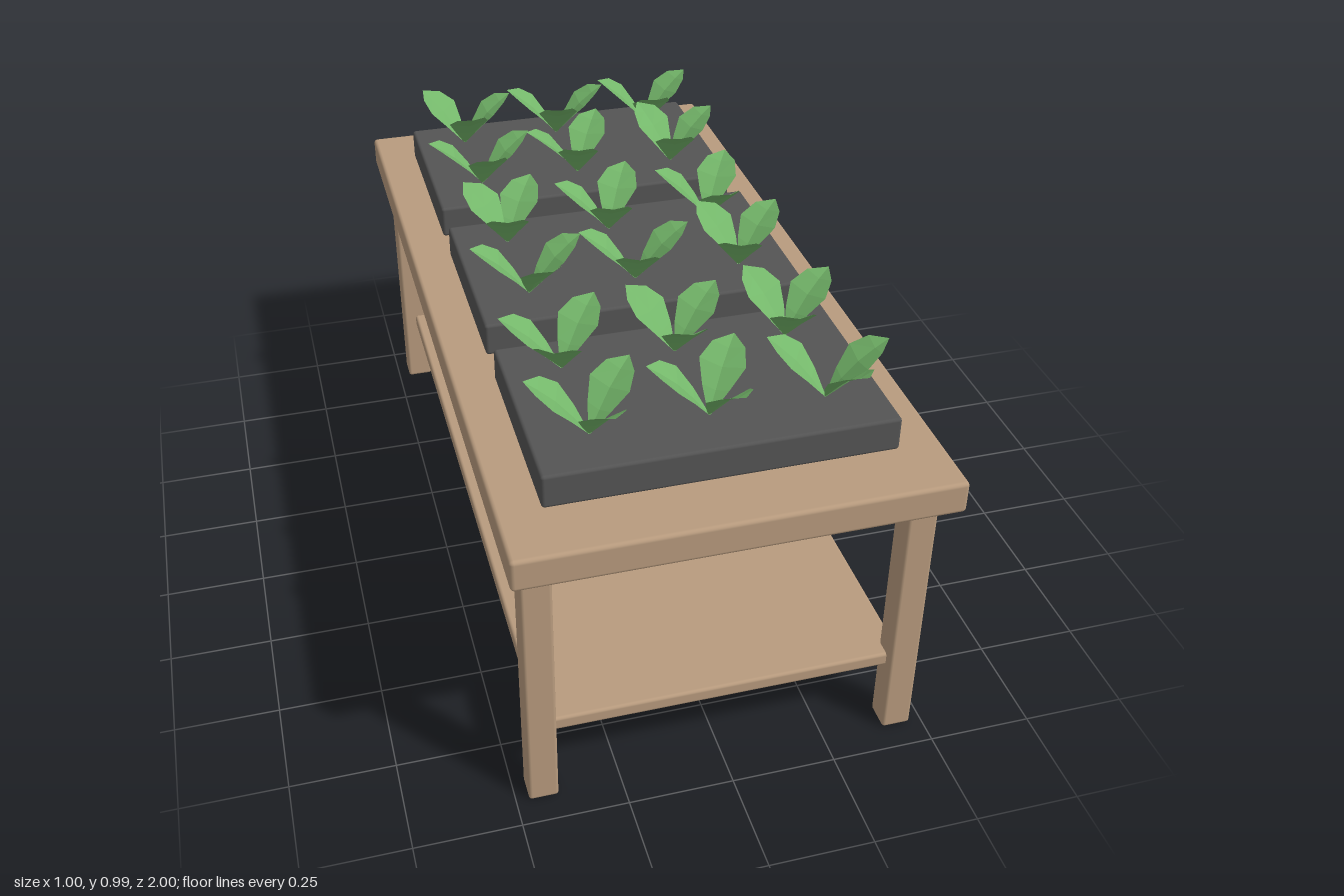
import * as THREE from 'three';
import { RoundedBoxGeometry } from 'three/addons/geometries/RoundedBoxGeometry.js';

const material = (name, color, extra = {}) => {
  const m = new THREE.MeshStandardMaterial({ color, ...extra });
  m.name = name;
  return m;
};

// Box with softly rounded edges, placed by its centre x, z and its bottom y
function roundedBox(name, mat, [w, h, d], [x, bottom, z], radius = 0.008) {
  const mesh = new THREE.Mesh(new RoundedBoxGeometry(w, h, d, 2, radius), mat);
  mesh.name = name;
  mesh.position.set(x, bottom + h / 2, z);
  return mesh;
}

// Folded leaf growing from the origin outwards along +z
function leafGeometry() {
  // distance out, height, half width, lift of the edges over the midrib
  const sections = [
    [0, 0, 0.003, 0],
    [0.034, 0.042, 0.032, 0.008],
    [0.07, 0.08, 0.054, 0.012],
    [0.107, 0.108, 0.038, 0.01],
    [0.138, 0.128, 0.0005, 0],
  ];
  const positions = [];
  for (const [z, y, w, lift] of sections) {
    positions.push(-w, y + lift, z, 0, y, z, w, y + lift, z);
  }
  const index = [];
  for (let i = 0; i < sections.length - 1; i++) {
    for (let j = 0; j < 2; j++) {
      const a = i * 3 + j, b = a + 1, c = a + 3, d = a + 4;
      index.push(a, c, b, b, c, d);
    }
  }
  const geometry = new THREE.BufferGeometry();
  geometry.setAttribute('position', new THREE.Float32BufferAttribute(positions, 3));
  geometry.setIndex(index);
  const flat = geometry.toNonIndexed();
  flat.computeVertexNormals();
  return flat;
}

export function createModel() {
  const model = new THREE.Group();
  model.name = 'pottingBench';
  const wood = material('wood', 0xb89b7e);
  const plastic = material('darkTray', 0x545454);
  const green = material('leafGreen', 0x74b76a, { side: THREE.DoubleSide, flatShading: true });

  // Bench
  model.add(roundedBox('tableTop', wood, [1, 0.08, 2], [0, 0.695, 0], 0.01));
  model.add(roundedBox('lowerShelf', wood, [0.87, 0.036, 1.82], [0, 0.184, 0]));
  for (const x of [-0.435, 0.435]) {
    for (const z of [-0.9, 0.9]) {
      model.add(roundedBox('leg', wood, [0.07, 0.7, 0.07], [x, 0, z]));
    }
  }

  // Trays
  for (const z of [-0.6, 0, 0.6]) {
    model.add(roundedBox('tray', plastic, [0.8, 0.083, 0.5], [0, 0.775, z]));
  }

  // Seedlings: directions of the three leaves in degrees, by row from the back
  const rows = [
    [[2, 97, -135], [-7, 92, -106], [-2, 110, -106]],
    [[5, 99, -94], [-11, 144, -95], [-7, 110, -153]],
    [[-9, 141, -140], [-9, 147, -106], [7, 144, -108]],
    [[14, 101, -99], [-11, 97, -104], [-18, 122, -146]],
    [[-19, 133, -106], [0, 122, -140], [-9, 117, -151]],
    [[9, 127, -108], [14, 141, -103], [16, 90, -122]],
  ];
  const rowZ = [-0.73, -0.47, -0.13, 0.13, 0.47, 0.73];
  const leaf = leafGeometry();
  rows.forEach((row, r) => row.forEach((angles, c) => {
    const plant = new THREE.Group();
    plant.name = 'seedling';
    plant.position.set((c - 1) * 0.267, 0.861, rowZ[r]);
    for (const angle of angles) {
      const mesh = new THREE.Mesh(leaf, green);
      mesh.name = 'leaf';
      mesh.rotation.y = THREE.MathUtils.degToRad(angle);
      plant.add(mesh);
    }
    model.add(plant);
  }));

  return model;
}
